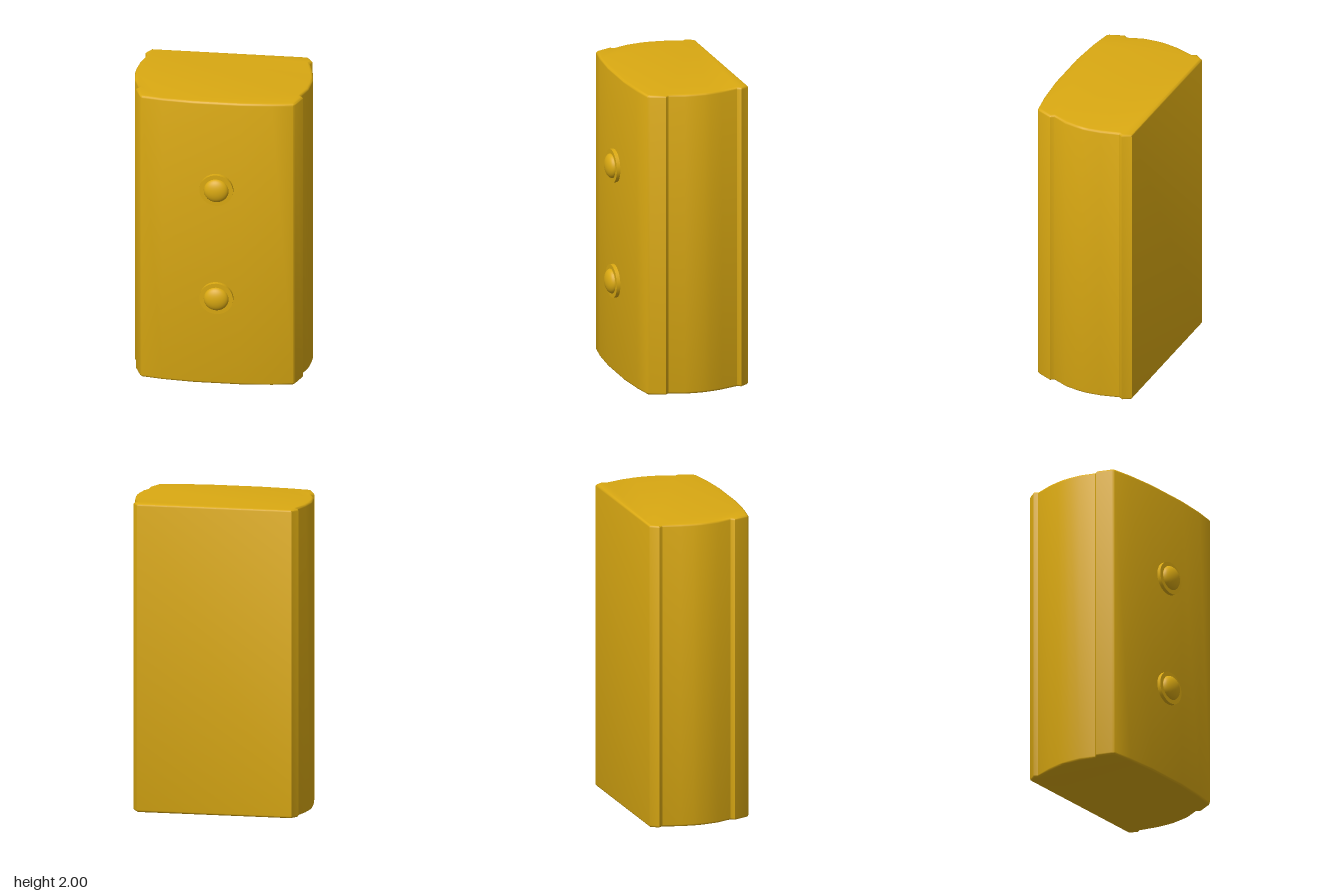
import * as THREE from 'three';
import { toCreasedNormals } from 'three/addons/utils/BufferGeometryUtils.js';

const yellow = new THREE.MeshStandardMaterial({ color: 0xdaa912 });
yellow.name = 'golden yellow';

// Half outline of the body seen from above: [x, z], from back corner to front centre
const HALF = [
  [0.5, -0.395], [0.535, -0.34], [0.52, -0.315], [0.553, -0.2], [0.565, -0.12],
  [0.568, -0.08], [0.565, -0.03], [0.555, 0.05], [0.518, 0.147], [0.535, 0.17],
  [0.498, 0.265], [0.485, 0.28], [0.35, 0.303], [0.15, 0.32],
];

// Upright block with bulging sides, grooves and softened top and bottom edges
function makeBody() {
  const bevel = 0.015;
  const right = HALF.map(([x, z]) => new THREE.Vector2(x, -z));
  const left = HALF.map(([x, z]) => new THREE.Vector2(-x, -z)).reverse();
  const geometry = new THREE.ExtrudeGeometry(new THREE.Shape([...right, ...left]), {
    depth: 2 - 2 * bevel,
    bevelEnabled: true,
    bevelThickness: bevel,
    bevelSize: bevel,
    bevelOffset: -bevel,
    bevelSegments: 3,
  });
  geometry.translate(0, 0, bevel).rotateX(-Math.PI / 2);
  const body = new THREE.Mesh(toCreasedNormals(geometry, 0.7), yellow);
  body.name = 'body';
  return body;
}

// Round button: flat collar with a domed cap, facing +z
function makeButton(name, y) {
  const button = new THREE.Group();
  button.name = name;

  const collar = new THREE.Mesh(new THREE.CylinderGeometry(0.108, 0.108, 0.024, 32), yellow);
  collar.name = 'collar';
  collar.rotation.x = Math.PI / 2;
  collar.position.z = 0.338;

  const dome = new THREE.Mesh(
    new THREE.SphereGeometry(0.08, 32, 10, 0, Math.PI * 2, 0, Math.PI / 2), yellow);
  dome.name = 'dome';
  dome.rotation.x = Math.PI / 2;
  dome.scale.y = 0.55;
  dome.position.z = 0.347;

  button.add(collar, dome);
  button.position.y = y;
  return button;
}

export function createModel() {
  const model = new THREE.Group();
  model.name = 'buttonBox';
  model.add(makeBody(), makeButton('upperButton', 1.39), makeButton('lowerButton', 0.62));
  return model;
}
